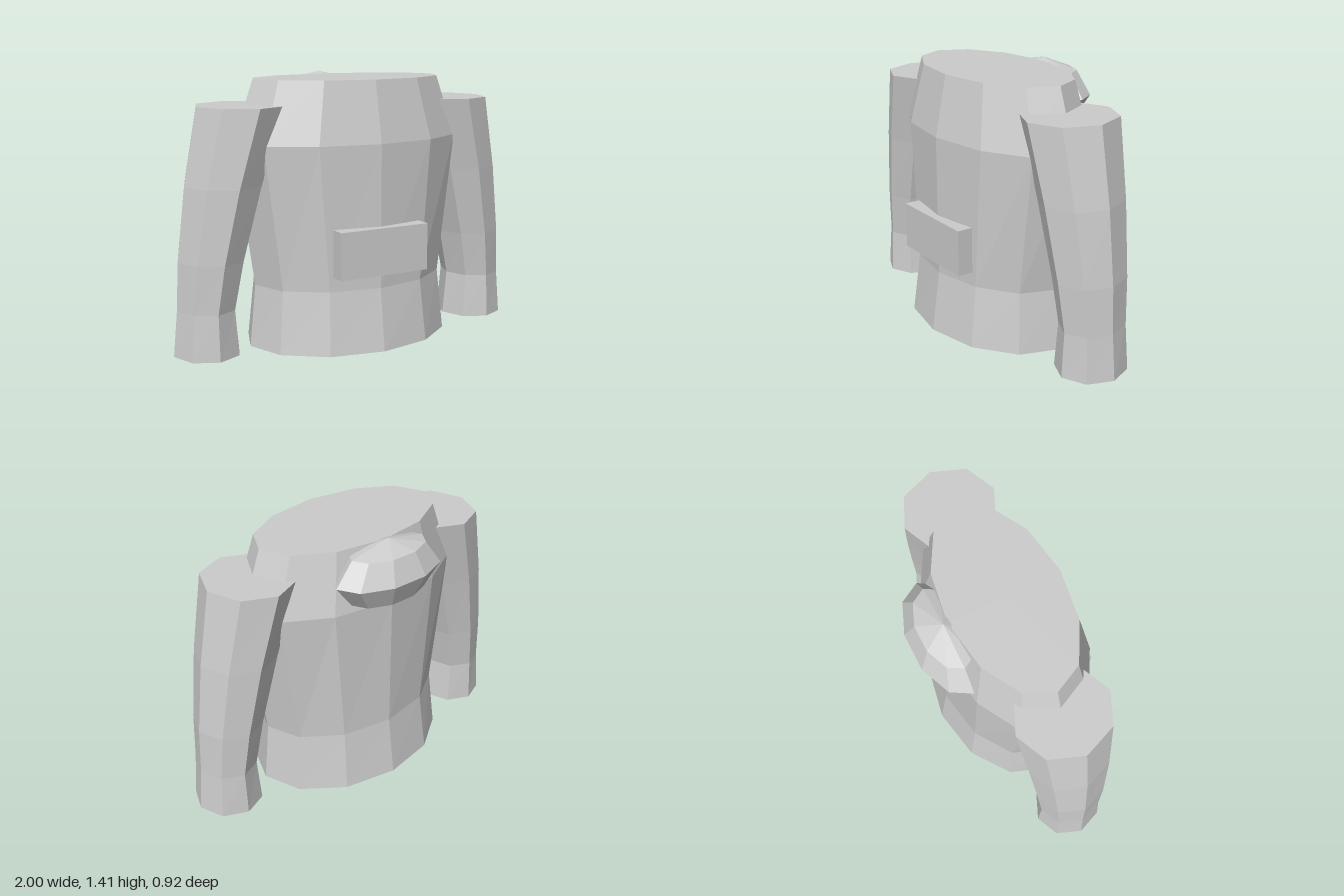
import * as THREE from 'three';

const grey = new THREE.MeshStandardMaterial({ color: 0xcccccc });
grey.name = 'plain grey';
const depth = 0.045; // z of the torso and arm axes

// Faceted solid through elliptical rings [y, centreX, radiusX, radiusZ], bottom to top
function loft(rings, sides) {
  const n = rings.length - 1;
  const geo = new THREE.CylinderGeometry(1, 1, 1, sides, n);
  const p = geo.attributes.position;
  for (let i = 0; i < p.count; i++) {
    const [y, cx, rx, rz] = rings[Math.round((p.getY(i) + 0.5) * n)];
    p.setXYZ(i, cx + p.getX(i) * rx, y, depth + p.getZ(i) * rz);
  }
  return geo;
}

export function createModel() {
  const group = new THREE.Group();
  const add = (name, geo) => {
    const flat = geo.toNonIndexed();
    flat.computeVertexNormals();
    const mesh = new THREE.Mesh(flat, grey);
    mesh.name = name;
    group.add(mesh);
    return mesh;
  };

  // Torso: flared hem, waist, chest and narrowed shoulders
  add('torso', loft([
    [0, 0, 0.578, 0.415],
    [0.33, 0, 0.545, 0.37],
    [1.08, 0, 0.655, 0.37],
    [1.4, 0, 0.542, 0.305],
  ], 12));

  // Sleeves: bowed outward, with a slightly flared cuff
  for (const [name, s] of [['leftSleeve', 1], ['rightSleeve', -1]]) {
    add(name, loft([
      [0.01, s * 0.822, 0.178, 0.19],
      [0.25, s * 0.822, 0.155, 0.177],
      [0.5, s * 0.79, 0.175, 0.196],
      [0.88, s * 0.715, 0.205, 0.225],
      [1.275, s * 0.612, 0.235, 0.255],
    ], 8));
  }

  // Front pocket
  add('pocket', new THREE.BoxGeometry(0.51, 0.247, 0.085)).position.set(0, 0.532, 0.415);

  // Hood bundled behind the neck
  const hood = new THREE.SphereGeometry(1, 10, 4);
  hood.scale(0.326, 0.175, 0.182);
  add('hood', hood).position.set(0, 1.24, -0.283);

  return group;
}
